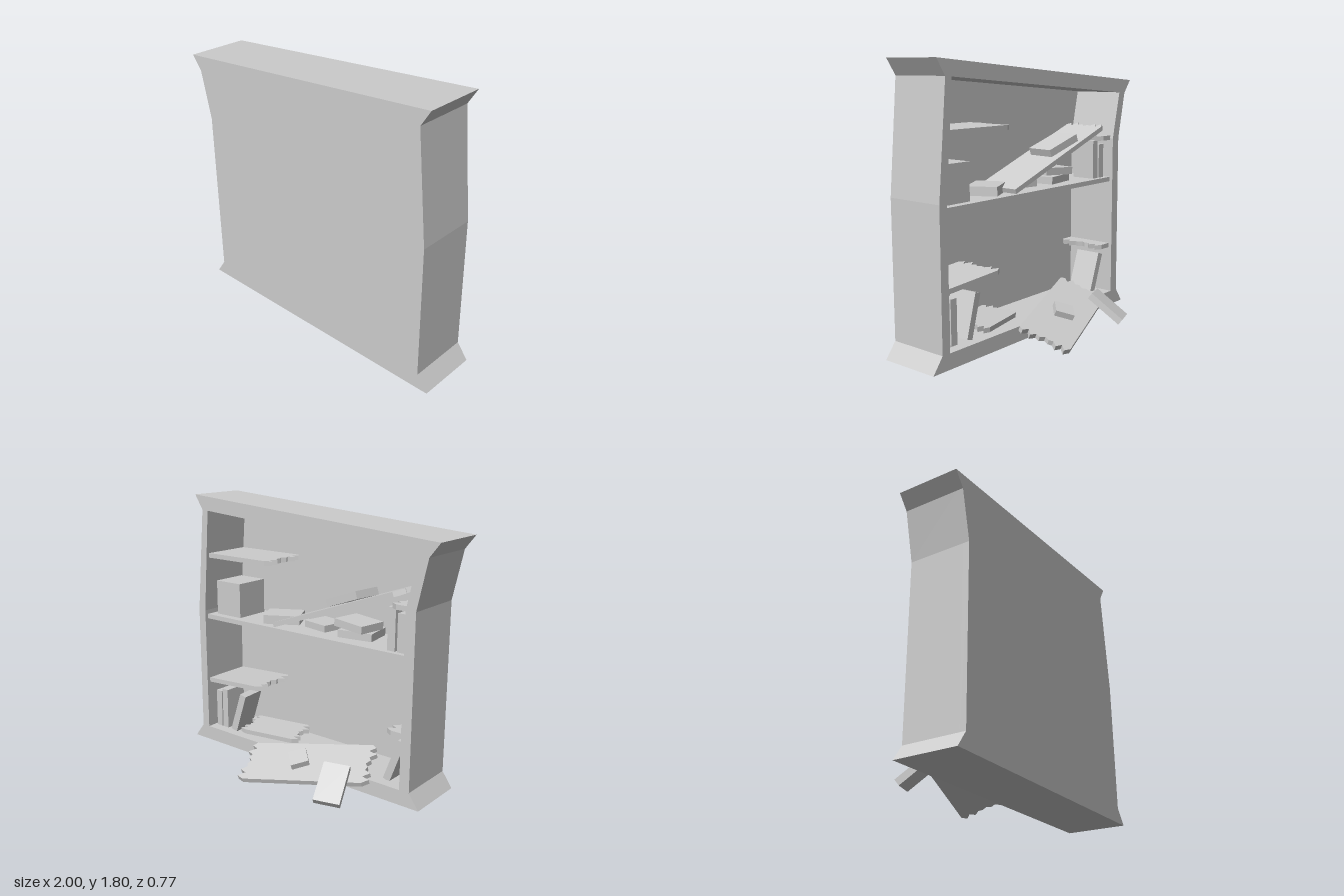
import * as THREE from 'three';

const grey = new THREE.MeshStandardMaterial({ color: 0xcccccc });
grey.name = 'plain grey';

const V = (p) => new THREE.Vector3(...p);
const toShape = (pts) => new THREE.Shape(pts.map((p) => new THREE.Vector2(...p)));

// Slanted cabinet outline and its opening
const outline = [[-0.93, 0.02], [1, 0.02], [0.925, 0.12], [0.925, 1], [0.86, 1.71],
  [0.925, 1.81], [-1, 1.66], [-0.93, 1.57], [-0.86, 1.25], [-0.86, 0.12]];
const opening = [[-0.79, 0.12], [0.865, 0.12], [0.865, 1], [0.81, 1.706],
  [-0.865, 1.575], [-0.79, 1.25]];

export function createModel() {
  const group = new THREE.Group();

  function add(name, geometry) {
    const mesh = new THREE.Mesh(geometry, grey);
    mesh.name = name;
    group.add(mesh);
    return mesh;
  }

  // Extrude a shape between two depths
  function slab(name, shape, z0, z1) {
    const g = new THREE.ExtrudeGeometry(shape, { depth: z1 - z0, bevelEnabled: false });
    return add(name, g.translate(0, 0, z0));
  }

  // Splintered edge running across the width, from w = 0 to w = width
  function splinters(x, dir, width, teeth) {
    const pts = [];
    for (let i = 0; i <= teeth * 2; i++) {
      const out = i % 2 ? 0.03 + 0.02 * Math.sin(i * 2.3) : 0.008 * Math.sin(i * 1.7);
      pts.push([x + dir * out, (width * i) / (teeth * 2)]);
    }
    return pts;
  }

  // Board with its top corner at the origin, length along x and width along z
  function boardGeometry(length, width, brokenLow, brokenHigh, thick = 0.032) {
    const low = brokenLow ? splinters(0, -1, width, 6) : [[0, 0], [0, width]];
    const high = brokenHigh ? splinters(length, 1, width, 6) : [[length, 0], [length, width]];
    const g = new THREE.ExtrudeGeometry(toShape([...high, ...low.reverse()]),
      { depth: thick, bevelEnabled: false });
    return g.rotateX(Math.PI / 2);
  }

  // Place a mesh at a point with its x axis along u and z axis along v
  function orient(mesh, at, u, v) {
    const x = V(u).normalize();
    const y = V(v).cross(x).normalize();
    const z = new THREE.Vector3().crossVectors(x, y);
    mesh.quaternion.setFromRotationMatrix(new THREE.Matrix4().makeBasis(x, y, z));
    mesh.position.copy(V(at));
  }

  function board(name, size, broken, at, u = [1, 0, 0], v = [0, 0, 1]) {
    orient(add(name, boardGeometry(...size, ...broken)), at, u, v);
  }

  function book(name, size, at, rot = [0, 0, 0]) {
    const mesh = add(name, new THREE.BoxGeometry(...size));
    mesh.position.set(...at);
    mesh.rotation.set(...rot);
    return mesh;
  }

  // Cabinet
  const frame = toShape(outline);
  frame.holes.push(new THREE.Path(opening.map((p) => new THREE.Vector2(...p))));
  slab('cabinetFrame', frame, -0.025, 0.345);
  slab('backPanel', toShape(outline), 0.345, 0.385);

  // Shelves still fixed to the sides
  board('middleShelf', [1.67, 0.345], [false, false], [-0.8, 0.97, 0]);
  board('upperLeftStub', [0.54, 0.345], [true, false], [0.32, 1.41, 0]);
  board('lowerLeftStub', [0.46, 0.345], [true, false], [0.42, 0.52, 0], [1, -0.06, 0]);
  board('upperRightStub', [0.09, 0.345], [false, true], [-0.8, 1.27, 0]);
  board('lowerRightStub', [0.1, 0.345], [false, true], [-0.8, 0.48, 0]);

  // Fallen boards
  board('fallenUpperShelf', [0.99, 0.31], [true, false], [-0.68, 1.34, 0.0], [0.93, -0.335, 0]);
  board('fallenLowerShelf', [0.81, 0.348], [true, true], [-0.57, 0.135, -0.12],
    [0.76, -0.1, -0.27], [0.13, 0.12, 0.3]);
  board('brokenLowerPiece', [0.36, 0.26], [true, true], [0.16, 0.17, 0.08],
    [0.95, 0.03, -0.25], [0.25, 0.05, 0.95]);

  // Books on the middle shelf
  book('box', [0.22, 0.24, 0.25], [0.71, 1.09, 0.18]);
  book('flatBook', [0.25, 0.06, 0.2], [0.31, 1.0, 0.19], [0, 0.5, 0]);
  book('coveredBook', [0.2, 0.045, 0.18], [-0.02, 0.995, 0.22], [0, -0.2, 0]);
  book('stackedBookLow', [0.24, 0.05, 0.2], [-0.33, 0.996, 0.2], [0, 0.15, 0]);
  book('stackedBookHigh', [0.24, 0.05, 0.2], [-0.32, 1.055, 0.18], [0, -0.15, 0.05]);
  book('shelfTopBook', [0.27, 0.05, 0.2], [-0.3, 1.235, 0.13], [0, -0.12, -0.345]);
  for (const [x, h] of [[-0.66, 0.27], [-0.73, 0.24]]) {
    book('standingBook', [0.055, h, 0.17], [x, 0.97 + h / 2, 0.12]);
  }

  // Books in the lower compartment
  for (const [x, h] of [[0.76, 0.29], [0.82, 0.27]]) {
    book('standingBook', [0.05, h, 0.17], [x, 0.12 + h / 2, 0.13]);
  }
  book('leaningBook', [0.05, 0.29, 0.19], [0.62, 0.27, 0.12], [0, 0.1, 0.3]);
  book('rightLeaningBook', [0.05, 0.3, 0.19], [-0.7, 0.26, 0.14], [0, 0, 0.35]);

  // Books spilled outside
  orient(book('slidingBook', [0.17, 0.045, 0.27], [0, 0, 0]),
    [-0.437, 0.13, -0.24], [0.15, 0.01, -0.06], [0.08, 0.15, 0.18]);
  orient(book('smallBook', [0.13, 0.04, 0.12], [0, 0, 0]),
    [-0.08, 0.165, -0.13], [0.09, 0.04, 0.08], [-0.09, 0.04, 0.1]);

  return group;
}
